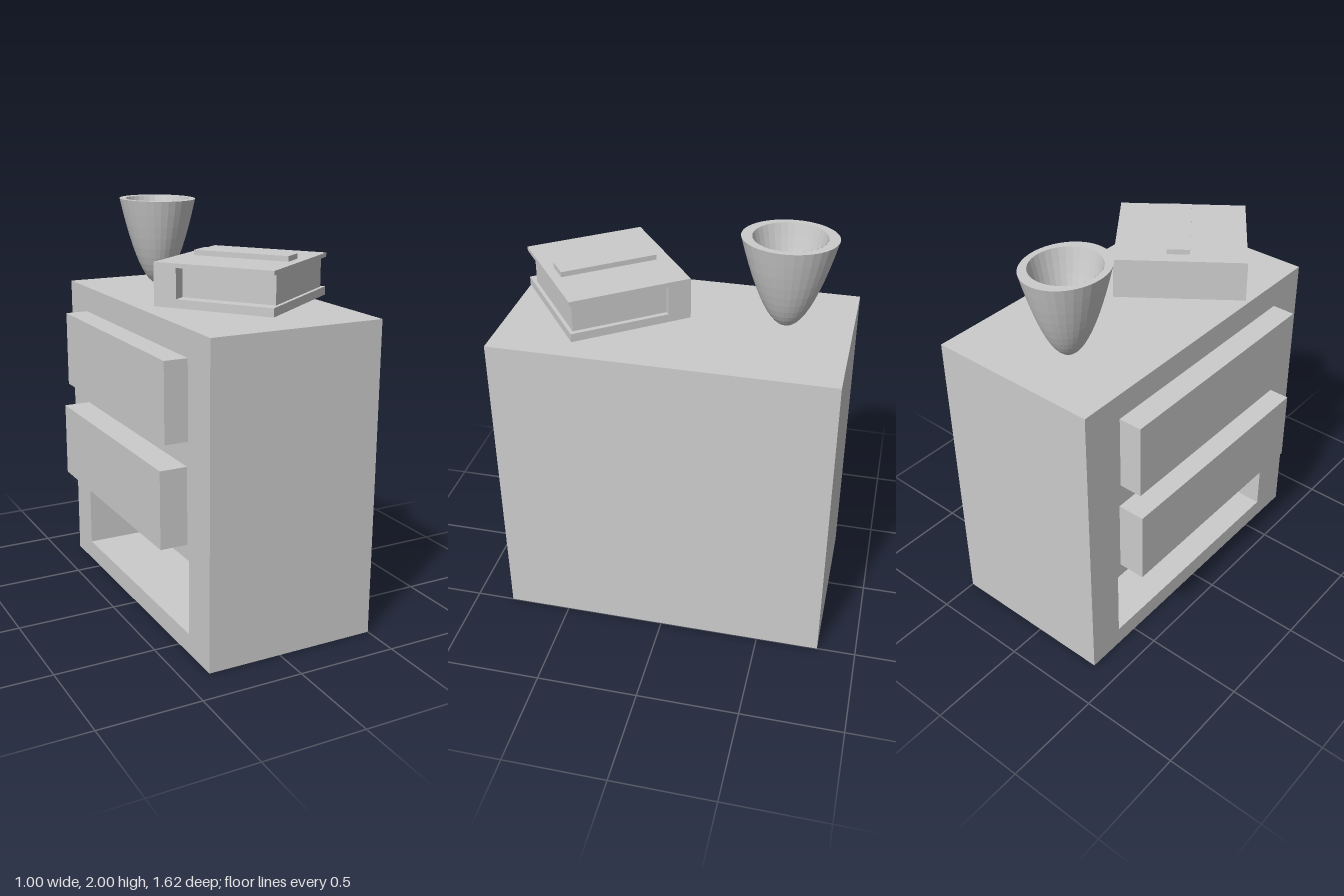
import * as THREE from 'three';

const grey = new THREE.MeshStandardMaterial({ color: 0xcccccc, flatShading: true });
const greyOpen = new THREE.MeshStandardMaterial({ color: 0xcccccc, flatShading: true, side: THREE.DoubleSide });

function add(parent, name, geometry, material = grey) {
  const mesh = new THREE.Mesh(geometry, material);
  mesh.name = name;
  parent.add(mesh);
  return mesh;
}

// Box given by its limits on each axis
function block(parent, name, [x0, x1], [y0, y1], [z0, z1]) {
  const mesh = add(parent, name, new THREE.BoxGeometry(x1 - x0, y1 - y0, z1 - z0));
  mesh.position.set((x0 + x1) / 2, (y0 + y1) / 2, (z0 + z1) / 2);
  return mesh;
}

function rectangle(path, x0, x1, y0, y1) {
  path.moveTo(x0, y0);
  path.lineTo(x1, y0);
  path.lineTo(x1, y1);
  path.lineTo(x0, y1);
  path.closePath();
  return path;
}

// Cabinet body with an empty drawer bay, and two drawers pulled out
function createCabinet() {
  const cabinet = new THREE.Group();
  cabinet.name = 'cabinet';
  const outline = rectangle(new THREE.Shape(), -0.81, 0.81, 0, 1.55);
  outline.holes.push(rectangle(new THREE.Path(), -0.62, 0.605, 0.1, 0.47));
  const body = add(cabinet, 'cabinetBody',
    new THREE.ExtrudeGeometry(outline, { depth: 0.8, bevelEnabled: false }));
  body.rotation.y = -Math.PI / 2;
  body.position.x = 0.43;
  block(cabinet, 'cabinetBack', [0.43, 0.5], [0, 1.55], [-0.81, 0.81]);
  block(cabinet, 'lowerDrawer', [-0.505, -0.3], [0.545, 0.92], [-0.6, 0.59]);
  block(cabinet, 'upperDrawer', [-0.485, -0.3], [1.04, 1.42], [-0.59, 0.6]);
  return cabinet;
}

// Thick book lying at an angle, spine along its back edge
function createBook() {
  const book = new THREE.Group();
  book.name = 'book';
  const width = [-0.313, 0.313], depth = [-0.292, 0.292];
  block(book, 'bottomCover', width, [1.6, 1.64], depth);
  block(book, 'topCover', width, [1.78, 1.8], depth);
  block(book, 'spine', width, [1.64, 1.78], [-0.292, -0.18]);
  block(book, 'pages', [-0.25, 0.29], [1.64, 1.78], [-0.18, 0.275]);
  block(book, 'coverStrip', [-0.044, 0.066], [1.8, 1.825], [-0.225, 0.245]);
  book.position.set(0.0325, 0, 0.356);
  book.rotation.y = 0.633;
  return book;
}

// Parabolic oval cup with separate inner wall and flat rim
function createCup() {
  const cup = new THREE.Group();
  cup.name = 'cup';
  const sides = 32;
  const wall = (name, rx, rz, bottom) => {
    const points = [];
    for (let i = 0; i <= 12; i++) {
      const t = i / 12;
      points.push(new THREE.Vector2(rx * t, bottom + (2 - bottom) * t * t));
    }
    add(cup, name, new THREE.LatheGeometry(points, sides), greyOpen).scale.z = rz / rx;
  };
  wall('outerWall', 0.19, 0.223, 1.555);
  wall('innerWall', 0.16, 0.172, 1.62);
  const ring = new THREE.Shape().absellipse(0, 0, 0.19, 0.223, 0, Math.PI * 2);
  ring.holes.push(new THREE.Path().absellipse(0, 0, 0.16, 0.172, 0, Math.PI * 2));
  const rim = add(cup, 'rim', new THREE.ShapeGeometry(ring, sides), greyOpen);
  rim.rotation.x = -Math.PI / 2;
  rim.position.y = 2;
  cup.position.z = -0.495;
  return cup;
}

export function createModel() {
  const model = new THREE.Group();
  model.name = 'bedsideCabinet';
  model.add(createCabinet(), createBook(), createCup());
  return model;
}
